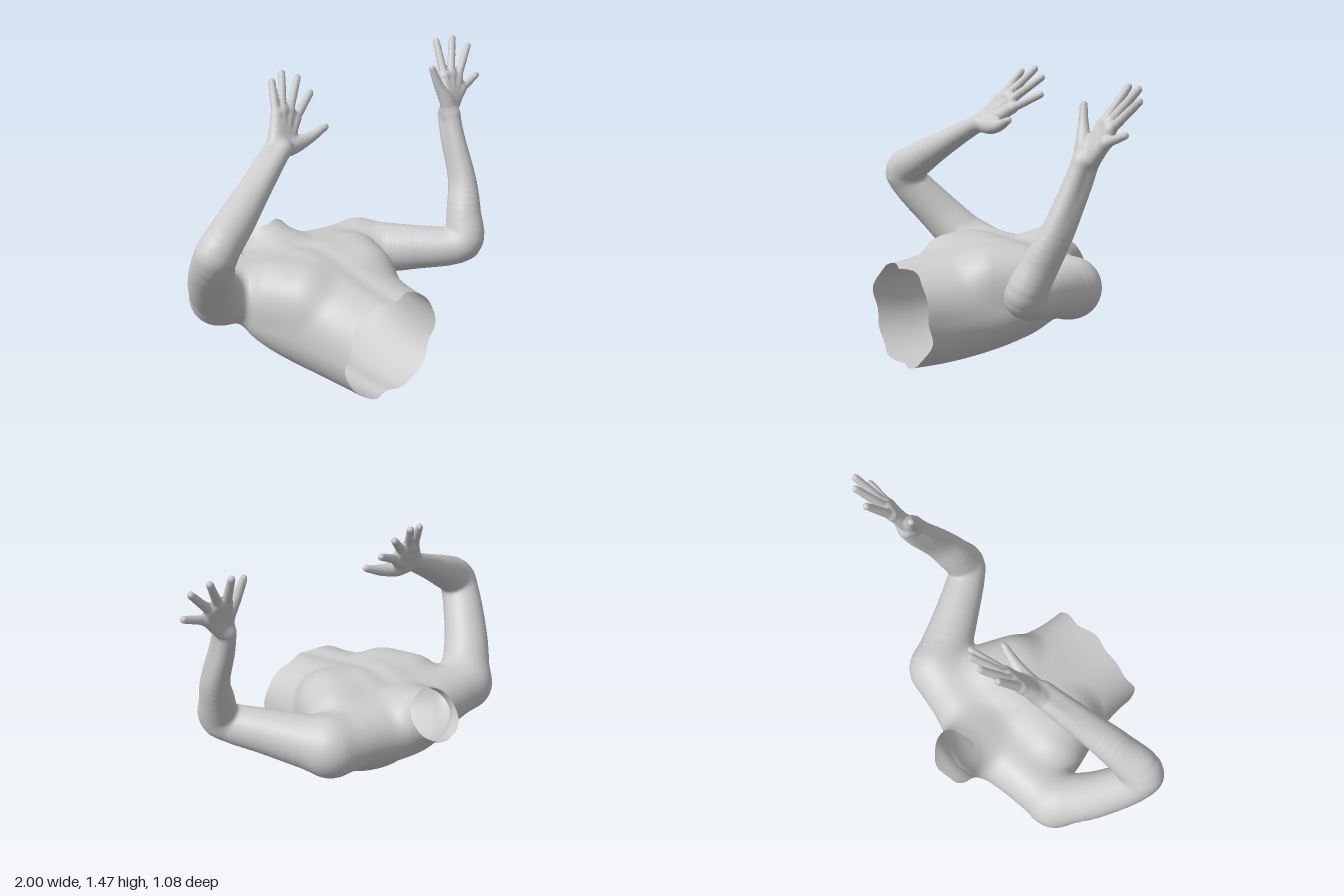
import * as THREE from 'three';
import { mergeVertices } from 'three/addons/utils/BufferGeometryUtils.js';

const MID = -0.165; // x of the spine

// Smooth curve through rows of numbers, keyed by the given positions
const smooth = (keys, rows) => new THREE.CubicInterpolant(keys, rows.flat(), rows[0].length);

// Torso cross-sections along z: half width, back y, chest y
const RINGS = smooth([-0.42, -0.3, -0.2, -0.1, 0, 0.1, 0.25, 0.4, 0.6], [
  [0.08, 0.40, 0.50], [0.27, 0.25, 0.545], [0.37, 0.155, 0.57],
  [0.42, 0.105, 0.605], [0.42, 0.07, 0.622], [0.39, 0.042, 0.612],
  [0.335, 0.015, 0.578], [0.305, 0.006, 0.545], [0.30, 0.012, 0.52],
]);

// Smooth union of two distances
function blend(a, b, k) {
  const h = Math.max(k - Math.abs(a - b), 0) / k;
  return Math.min(a, b) - h * h * k * 0.25;
}

// Tapered segment between two [x, y, z, radius] points
function cone(a, b) {
  const dx = b[0] - a[0], dy = b[1] - a[1], dz = b[2] - a[2];
  const len2 = dx * dx + dy * dy + dz * dz;
  return (x, y, z) => {
    const px = x - a[0], py = y - a[1], pz = z - a[2];
    const t = Math.min(1, Math.max(0, (px * dx + py * dy + pz * dz) / len2));
    return Math.hypot(px - t * dx, py - t * dy, pz - t * dz) - a[3] - t * (b[3] - a[3]);
  };
}

// Smoothly curved and tapered tube through [x, y, z, radius] points
function tube(pts) {
  const curve = smooth(pts.map((p, i) => i), pts), steps = (pts.length - 1) * 5;
  const samples = Array.from({ length: steps + 1 }, (_, i) => Array.from(curve.evaluate(i / 5)));
  const segments = samples.slice(1).map((p, i) => cone(samples[i], p));
  return (x, y, z) => segments.reduce((d, s) => Math.min(d, s(x, y, z)), 9);
}

// Several forms blended, skipped cheaply when far from the bounding sphere
function limb(forms, k, centre, reach) {
  return (x, y, z) => {
    const far = Math.hypot(x - centre[0], y - centre[1], z - centre[2]) - reach;
    return far > 0.12 ? far : forms.reduce((d, s) => blend(d, s(x, y, z), k), 9);
  };
}

// Hand: palm rays from the heel to each knuckle, webs between knuckles, fingers and thumb
function hand(heel, fingers, thumb, centre) {
  const forms = [tube(thumb)];
  fingers.forEach(([knuckle, tip], i) => {
    const root = new THREE.Vector3(...knuckle), end = new THREE.Vector3(...tip);
    end.addScaledVector(end.clone().sub(root).normalize(), -0.016);
    const base = heel[0].map((v, s) => v + (heel[1][s] - v) * i / 3);
    forms.push(cone([...base, 0.039], [...knuckle, 0.028]));
    forms.push(cone([...knuckle, 0.0235], [...end.toArray(), 0.0175]));
    if (i) forms.push(cone([...fingers[i - 1][0], 0.025], [...knuckle, 0.025]));
  });
  return limb(forms, 0.012, centre, 0.28);
}

// Trunk with chest, shoulders and neck
const shoulders = [[-0.635, 0.445, -0.205, 0.135], [0.28, 0.42, -0.195, 0.145]]
  .map(p => cone([MID, 0.415, -0.26, 0.14], p));
const neck = cone([MID, 0.425, -0.2, 0.145], [MID, 0.61, -0.6, 0.133]);
const chest = [-1, 1].map(s => cone([MID + s * 0.2, 0.465, 0.13, 0.14], [MID + s * 0.26, 0.46, -0.02, 0.14]));
function torso(x, y, z) {
  const [w, low, high] = RINGS.evaluate(z);
  const ry = (high - low) / 2, dx = (x - MID) / w, dy = (y - (high + low) / 2) / ry;
  const n = dy > 0 ? 2.4 : 2;
  const k = Math.pow(Math.pow(Math.abs(dx), n) + Math.pow(Math.abs(dy), n), 1 / n);
  let d = (k - 1) * Math.min(w, ry);
  d += 0.012 * Math.exp(-(((x - MID) / 0.05) ** 2)) * dy * dy; // spine and breastbone grooves
  d = Math.max(d, -0.38 - z);
  for (const c of chest) d = blend(d, c(x, y, z), 0.07);
  for (const s of shoulders) d = blend(d, s(x, y, z), 0.08);
  return blend(d, neck(x, y, z), 0.07);
}

// Arms: upper arm running into one forearm bone, with the second bone beside it
const rightArm = limb([
  tube([[-0.655, 0.45, -0.195, 0.132], [-0.8, 0.635, -0.05, 0.113], [-0.9, 0.86, 0.12, 0.096],
    [-0.75, 0.965, 0.09, 0.083], [-0.6, 1.05, 0.045, 0.065], [-0.42, 1.15, -0.012, 0.047], [-0.35, 1.185, -0.035, 0.042]]),
  tube([[-0.9, 0.86, 0.12, 0.094], [-0.75, 0.97, 0.07, 0.08], [-0.6, 1.06, 0.01, 0.06],
    [-0.42, 1.165, -0.06, 0.045], [-0.35, 1.195, -0.08, 0.04]]),
], 0.02, [-0.7, 0.8, 0], 0.62);

const leftArm = limb([
  tube([[0.3, 0.42, -0.17, 0.145], [0.45, 0.452, 0.07, 0.117], [0.605, 0.5, 0.285, 0.093],
    [0.655, 0.65, 0.25, 0.08], [0.7, 0.8, 0.195, 0.062], [0.718, 1.0, 0.11, 0.049], [0.73, 1.12, 0.065, 0.044]]),
  tube([[0.605, 0.5, 0.28, 0.09], [0.655, 0.65, 0.225, 0.08], [0.705, 0.8, 0.155, 0.06],
    [0.722, 1.0, 0.06, 0.046], [0.735, 1.12, 0.015, 0.04]]),
], 0.02, [0.55, 0.7, 0.1], 0.65);

const rightHand = hand([[-0.355, 1.215, -0.085], [-0.31, 1.18, -0.065]], [
  [[-0.3, 1.312, -0.14], [-0.24, 1.463, -0.24]],
  [[-0.255, 1.325, -0.15], [-0.15, 1.48, -0.268]],
  [[-0.21, 1.312, -0.15], [-0.06, 1.44, -0.25]],
  [[-0.185, 1.27, -0.135], [-0.008, 1.357, -0.21]],
], [[-0.35, 1.18, -0.05, 0.04], [-0.27, 1.175, -0.06, 0.042], [-0.17, 1.19, -0.055, 0.029], [-0.07, 1.226, -0.045, 0.0175]],
[-0.2, 1.3, -0.14]);

const leftHand = hand([[0.73, 1.15, 0.04], [0.77, 1.145, 0.025]], [
  [[0.768, 1.3, -0.03], [0.815, 1.475, -0.142]],
  [[0.812, 1.302, -0.025], [0.922, 1.472, -0.12]],
  [[0.845, 1.275, -0.008], [0.995, 1.425, -0.07]],
  [[0.85, 1.222, 0.015], [0.995, 1.275, 0.005]],
], [[0.73, 1.13, 0.055, 0.042], [0.712, 1.2, 0.04, 0.038], [0.675, 1.285, 0.015, 0.025], [0.647, 1.375, -0.005, 0.0175]],
[0.8, 1.28, -0.01]);

const PARTS = { torso, rightArm, leftArm, rightHand, leftHand };
function body(x, y, z) {
  const d = blend(blend(torso(x, y, z), rightArm(x, y, z), 0.05), leftArm(x, y, z), 0.05);
  return blend(blend(d, rightHand(x, y, z), 0.025), leftHand(x, y, z), 0.025);
}
function slope([x, y, z]) {
  const e = 0.003;
  return [body(x + e, y, z) - body(x - e, y, z), body(x, y + e, z) - body(x, y - e, z),
    body(x, y, z + e) - body(x, y, z - e)].map(v => v / (2 * e));
}

// Pulls a point back to the uneven waist or neck opening; true if it lay beyond
function trim(p) {
  const [x, y, z] = p, a = Math.atan2(y - 0.27, x - MID);
  const waist = z - 0.52 - 0.011 * Math.sin(5 * a) - 0.007 * Math.sin(9 * a + 1);
  if (waist > 0) { p[2] -= waist; return true; }
  const rim = (y - 0.54) * 0.64 - (z + 0.45) * 0.77 - 0.008 * Math.sin(x * 40);
  if (rim > 0 && z < -0.3 && y < 0.8) { p[1] -= rim * 0.64; p[2] += rim * 0.77; return true; }
  return false;
}

// Skin: one averaged vertex per grid cell crossed by the surface, joined by quads
function buildSkin() {
  const cell = 0.0125, origin = [-1.06, -0.05, -0.64], size = [170, 130, 98];
  const step = [1, size[0], size[0] * size[1]], total = step[2] * size[2];
  const field = new Float32Array(total), vertexOf = new Int32Array(total).fill(-1);
  const each = (from, to, fn) => {
    for (let k = from; k < size[2] - to; k++) for (let j = from; j < size[1] - to; j++)
      for (let i = from; i < size[0] - to; i++) fn(i + j * step[1] + k * step[2], [i, j, k]);
  };
  each(0, 0, (n, c) => { field[n] = body(...c.map((v, s) => origin[s] + v * cell)); });
  const points = [], normals = [], beyond = [];
  each(0, 1, (n, c) => {
    const sum = [0, 0, 0];
    let count = 0;
    for (let q = 0; q < 8; q++) for (let a = 0; a < 3; a++) {
      if (q >> a & 1) continue;
      const bits = [q & 1, q >> 1 & 1, q >> 2];
      const m = n + bits[0] + bits[1] * step[1] + bits[2] * step[2];
      const f = field[m], g = field[m + step[a]];
      if ((f < 0) === (g < 0)) continue;
      bits[a] = f / (f - g);
      bits.forEach((v, s) => { sum[s] += v; });
      count++;
    }
    if (!count) return;
    const p = sum.map((v, s) => origin[s] + (c[s] + v / count) * cell);
    const g = slope(p), len = Math.hypot(...g) || 1, d = body(...p);
    const move = Math.max(-cell, Math.min(cell, d / len)) * 0.8;
    g.forEach((v, s) => { p[s] -= v / len * move; });
    vertexOf[n] = points.length;
    normals.push(g.map(v => v / len));
    beyond.push(trim(p));
    points.push(p);
  });
  const names = Object.keys(PARTS), faces = names.map(() => []);
  each(1, 1, n => {
    for (let a = 0; a < 3; a++) {
      const inside = field[n] < 0;
      if (inside === (field[n + step[a]] < 0)) continue;
      const u = step[(a + 1) % 3], v = step[(a + 2) % 3];
      const quad = [n - u - v, n - v, n, n - u].map(m => vertexOf[m]);
      if (quad.some(q => q < 0) || quad.every(q => beyond[q])) continue;
      if (!inside) quad.reverse();
      const near = names.map(name => PARTS[name](...points[quad[0]]));
      const [p, q, r, s] = quad;
      faces[near.indexOf(Math.min(...near))].push(p, q, r, p, r, s);
    }
  });
  return names.map((name, i) => {
    const geo = new THREE.BufferGeometry();
    geo.setAttribute('position', new THREE.Float32BufferAttribute(points.flat(), 3));
    geo.setAttribute('normal', new THREE.Float32BufferAttribute(normals.flat(), 3));
    geo.setIndex(faces[i]);
    return [name, mergeVertices(geo.toNonIndexed(), 1e-6)];
  });
}

export function createModel() {
  const group = new THREE.Group();
  group.name = 'armsAndTorso';
  const skin = new THREE.MeshStandardMaterial({ color: 0xcccccc, side: THREE.DoubleSide });
  for (const [name, geo] of buildSkin()) {
    const mesh = new THREE.Mesh(geo, skin);
    mesh.name = name;
    group.add(mesh);
  }
  // Stand on the ground, centred
  const box = new THREE.Box3().setFromObject(group), mid = box.getCenter(new THREE.Vector3());
  for (const mesh of group.children) mesh.geometry.translate(-mid.x, -box.min.y, -mid.z);
  return group;
}
